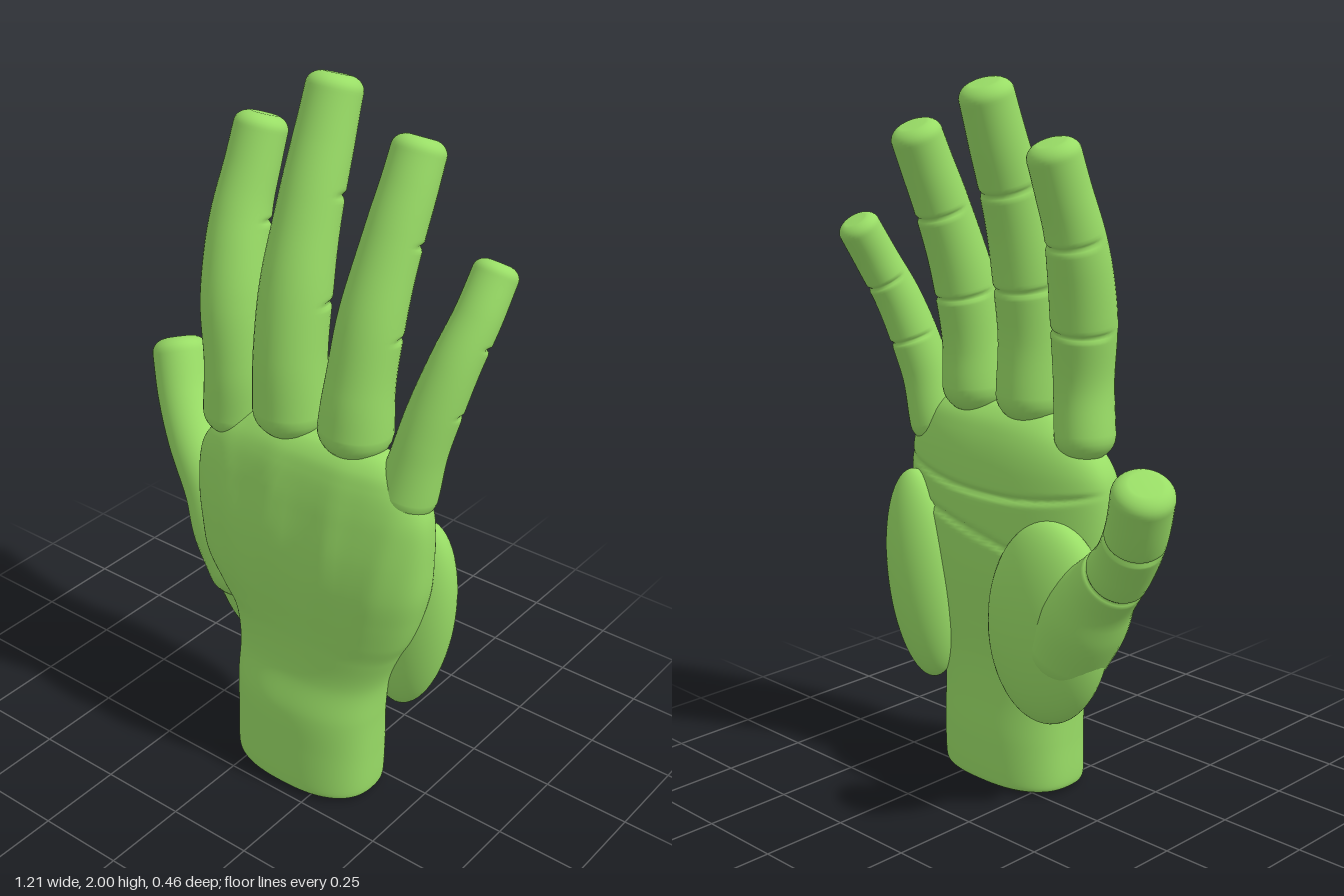
import * as THREE from 'three';

const material = new THREE.MeshStandardMaterial({ color: 0x99dd66 });
const bell = (d, w) => Math.exp(-(d * d) / (w * w));
const V = (x, y, z) => new THREE.Vector3(x, y, z);

// Skin a stack of closed rings (counter-clockwise around the stacking direction) and close both ends.
function loft(name, rings) {
  const n = rings[0].length, pos = [], idx = [];
  for (const ring of rings) for (const p of ring) pos.push(p.x, p.y, p.z);
  for (let i = 0; i < rings.length - 1; i++) for (let j = 0; j < n; j++) {
    const a = i * n + j, b = i * n + (j + 1) % n;
    idx.push(a, b, b + n, a, b + n, a + n);
  }
  const cap = (ring, base, flip) => {
    const c = ring.reduce((s, p) => s.add(p), V(0, 0, 0)).divideScalar(n);
    const k = pos.length / 3;
    pos.push(c.x, c.y, c.z);
    for (let j = 0; j < n; j++) {
      const a = base + j, b = base + (j + 1) % n;
      if (flip) idx.push(k, b, a); else idx.push(k, a, b);
    }
  };
  cap(rings[0], 0, true);
  cap(rings[rings.length - 1], (rings.length - 1) * n, false);
  const g = new THREE.BufferGeometry();
  g.setAttribute('position', new THREE.Float32BufferAttribute(pos, 3));
  g.setIndex(idx);
  g.computeVertexNormals();
  const mesh = new THREE.Mesh(g, material);
  mesh.name = name;
  return mesh;
}

// Smooth value through evenly spaced samples.
function sample(values, t) {
  const f = t * (values.length - 1), i = Math.min(Math.floor(f), values.length - 2), u = f - i;
  const at = (k) => values[Math.max(0, Math.min(values.length - 1, k))];
  const [a, b, c, d] = [at(i - 1), at(i), at(i + 1), at(i + 2)];
  return b + 0.5 * u * (c - a + u * (2 * a - 5 * b + 4 * c - d + u * (3 * (b - c) + d - a)));
}

// A digit: tapered sweep with a domed root, blunt tip and creases on the palm side.
function digit(name, path, radii, creases) {
  const curve = new THREE.CatmullRomCurve3(path.map((p) => V(...p)));
  const rings = [], N = 110, S = 36;
  const ring = (t, scale, push) => {
    const c = curve.getPointAt(t), T = curve.getTangentAt(t);
    const X = V(1, 0, 0).addScaledVector(T, -T.x).normalize();
    const Z = X.clone().cross(T);
    const r = sample(radii, t);
    c.addScaledVector(T, push * r);
    rings.push(Array.from({ length: S }, (_, j) => {
      const a = (j / S) * Math.PI * 2;
      const inner = THREE.MathUtils.smoothstep(Math.sin(a), -0.3, 0.3);
      let q = r * scale;
      for (const k of creases) q -= 0.009 * inner * bell(t - k, 0.009);
      return c.clone().addScaledVector(X, q * Math.cos(a)).addScaledVector(Z, -q * Math.sin(a));
    }));
  };
  for (let k = 1; k < 8; k++) {
    const a = (k / 8) * Math.PI / 2;
    ring(0, Math.sin(a), -0.8 * Math.cos(a));
  }
  for (let i = 0; i <= N; i++) ring(i / N, 1, 0);
  for (let k = 1; k < 8; k++) {
    const a = (k / 8) * Math.PI / 2;
    ring(1, 0.4 + 0.6 * Math.cos(a), 0.5 * Math.sin(a));
  }
  return loft(name, rings);
}

// Fleshy ellipsoid pad.
function pad(name, centre, size, tilt) {
  const mesh = new THREE.Mesh(new THREE.SphereGeometry(1, 48, 32), material);
  mesh.name = name;
  mesh.position.set(...centre);
  mesh.scale.set(...size);
  mesh.rotation.z = tilt;
  return mesh;
}

// Wrist and palm: rounded cross-sections with tendons on the back of the hand and palm creases.
function palm() {
  // y, min x, max x, front z, rear z
  const stations = [
    [0.01, -0.055, 0.37, 0.22, -0.05], [0.03, -0.07, 0.38, 0.23, -0.06], [0.15, -0.07, 0.383, 0.23, -0.06],
    [0.27, -0.072, 0.387, 0.225, -0.05], [0.38, -0.078, 0.398, 0.2, -0.045], [0.48, -0.1, 0.435, 0.197, -0.05],
    [0.55, -0.15, 0.47, 0.202, -0.055], [0.63, -0.2, 0.498, 0.21, -0.06], [0.72, -0.215, 0.52, 0.215, -0.06],
    [0.82, -0.225, 0.527, 0.212, -0.055], [0.92, -0.222, 0.527, 0.2, -0.045], [0.98, -0.2, 0.515, 0.19, -0.035],
    [1.03, -0.15, 0.49, 0.178, -0.02], [1.07, -0.08, 0.455, 0.162, 0], [1.1, -0.02, 0.4, 0.135, 0.03],
    [1.115, 0.05, 0.32, 0.1, 0.06],
  ];
  const column = (k) => stations.map((s) => s[k]);
  const [ys, x0, x1, zf, zr] = [0, 1, 2, 3, 4].map(column);
  const rings = [], N = 200, S = 96;
  const pw = (v) => Math.sign(v) * Math.abs(v) ** 0.82;
  const section = (t, shrink, y) => {
    const [l, r, f, b] = [x0, x1, zf, zr].map((c) => sample(c, t));
    rings.push(Array.from({ length: S }, (_, j) => {
      const a = (j / S) * Math.PI * 2;
      const x = (l + r) / 2 + shrink * (r - l) / 2 * pw(Math.cos(a));
      let z = (f + b) / 2 - shrink * (f - b) / 2 * pw(Math.sin(a));
      const side = -Math.sin(a);
      if (side > 0) { // tendons fan out from the wrist to the knuckles
        const fan = (x - 0.16) / (0.35 + 0.65 * y);
        const fade = bell(y - 0.85, 0.2) * side;
        for (const k of [-0.24, -0.06, 0.14, 0.32]) z += 0.008 * fade * bell(fan - k, 0.04);
      } else { // palm creases
        const upper = 0.87 + 0.35 * (x - 0.15) ** 2;
        const lower = 0.72 + 0.2 * x;
        z -= side * 0.012 * (bell(y - upper, 0.009) + bell(y - lower, 0.009));
      }
      return V(x, y, z);
    }));
  };
  section(0, 0.9, 0);
  for (let i = 0; i <= N; i++) section(i / N, 1, sample(ys, i / N));
  section(1, 0.5, 1.12);
  return loft('palmAndWrist', rings);
}

export function createModel() {
  const hand = new THREE.Group();
  hand.name = 'hand';
  hand.add(palm());

  // Fleshy pads on the palm side
  hand.add(pad('thumbPad', [-0.09, 0.545, -0.03], [0.205, 0.295, 0.11], 0.12));
  hand.add(pad('heelPad', [0.415, 0.57, -0.025], [0.122, 0.312, 0.092], -0.13));

  // Fingers and thumb
  const digits = [
    ['indexFinger', [[-0.125, 1.06, 0.075], [-0.115, 1.2, 0.08], [-0.13, 1.4, 0.06], [-0.145, 1.6, 0.01],
      [-0.142, 1.73, -0.035], [-0.14, 1.815, -0.065]], [0.084, 0.083, 0.09, 0.086, 0.076, 0.072], [0.38, 0.7]],
    ['middleFinger', [[0.08, 1.14, 0.085], [0.078, 1.3, 0.085], [0.077, 1.5, 0.055], [0.077, 1.7, 0],
      [0.076, 1.84, -0.05], [0.075, 1.955, -0.09]], [0.102, 0.097, 0.095, 0.086, 0.08, 0.074], [0.37, 0.7]],
    ['ringFinger', [[0.28, 1.14, 0.07], [0.285, 1.25, 0.065], [0.295, 1.45, 0.03], [0.308, 1.65, -0.035],
      [0.314, 1.76, -0.08], [0.315, 1.84, -0.115]], [0.1, 0.09, 0.087, 0.08, 0.075, 0.071], [0.37, 0.7]],
    ['littleFinger', [[0.445, 1.01, 0.065], [0.475, 1.17, 0.045], [0.515, 1.36, -0.01], [0.538, 1.48, -0.07],
      [0.545, 1.575, -0.127]], [0.08, 0.072, 0.07, 0.066, 0.062, 0.06], [0.42, 0.72]],
    ['thumb', [[-0.16, 0.5, -0.02], [-0.27, 0.66, -0.04], [-0.4, 0.8, -0.075], [-0.475, 0.91, -0.115],
      [-0.525, 1.02, -0.152]], [0.12, 0.12, 0.096, 0.084, 0.082, 0.082], [0.5, 0.76]],
  ];
  for (const d of digits) hand.add(digit(...d));
  return hand;
}
